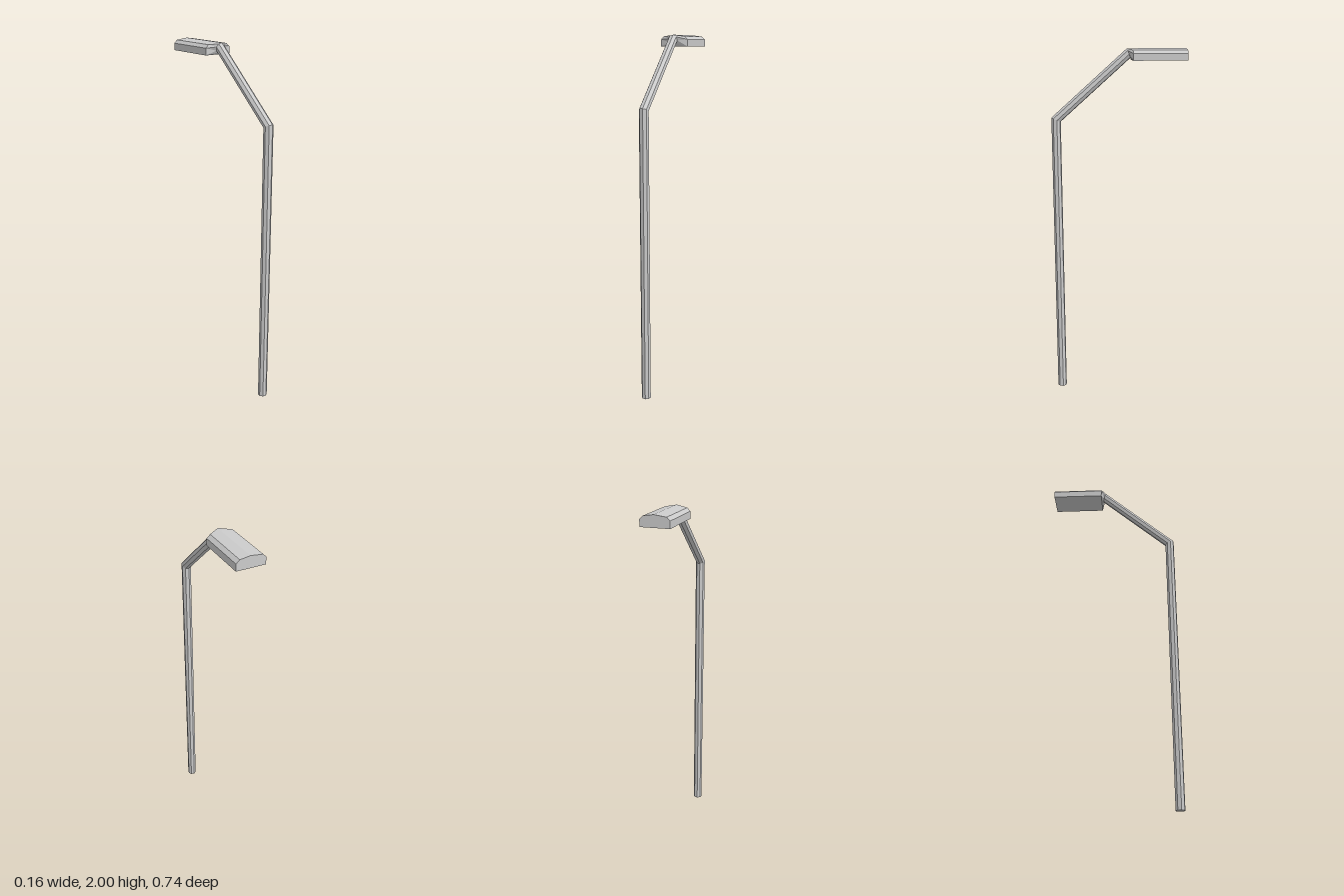
import * as THREE from 'three';

const SIDES = 8, R = 0.026, TWIST = THREE.MathUtils.degToRad(11);

// Octagonal tube section; (uy, uz) is where the section's outer direction points,
// stretched where needed so that mitred joints keep the tube thickness.
function tubeRing(y, z, uy, uz) {
  return Array.from({ length: SIDES }, (_, i) => {
    const a = TWIST + (i / SIDES) * Math.PI * 2;
    const u = R * Math.cos(a);
    return [R * Math.sin(a), y + u * uy, z + u * uz];
  });
}

// Lamp housing section: flat bottom, short sides, shallow arched top.
function headRing(z) {
  return [
    [0.005, 2.0], [0.06, 1.992], [0.079, 1.975], [0.079, 1.937],
    [0, 1.937], [-0.079, 1.937], [-0.079, 1.975], [-0.062, 1.992],
  ].map(([x, y]) => [x, y, z]);
}

// Skins consecutive sections, with optional caps at either end.
function loft(name, rings, capStart = false, capEnd = false) {
  const pos = [];
  const tri = (a, b, c) => pos.push(...a, ...b, ...c);
  for (let r = 0; r < rings.length - 1; r++) {
    const a = rings[r], b = rings[r + 1];
    for (let i = 0; i < SIDES; i++) {
      const j = (i + 1) % SIDES;
      tri(a[i], a[j], b[j]);
      tri(a[i], b[j], b[i]);
    }
  }
  const first = rings[0], last = rings[rings.length - 1];
  for (let i = 1; i < SIDES - 1; i++) {
    if (capStart) tri(first[0], first[i + 1], first[i]);
    if (capEnd) tri(last[0], last[i], last[i + 1]);
  }
  const geo = new THREE.BufferGeometry();
  geo.setAttribute('position', new THREE.Float32BufferAttribute(pos, 3));
  geo.computeVertexNormals();
  const mesh = new THREE.Mesh(geo, new THREE.MeshStandardMaterial({ color: 0xcccccc, flatShading: true }));
  mesh.name = name;
  return mesh;
}

export function createModel() {
  const group = new THREE.Group();
  group.name = 'streetLamp';

  const base = tubeRing(0, 0.344, 0, 1);
  const bend = tubeRing(1.62, 0.344, 0.45, 1);
  const neck = tubeRing(1.974, -0.055, 1, 0.38);

  group.add(loft('pole', [base, bend], true));
  group.add(loft('arm', [bend, neck]));
  // Neck flares into the housing
  group.add(loft('lampHead', [neck, headRing(-0.075), headRing(-0.37)], false, true));
  return group;
}
